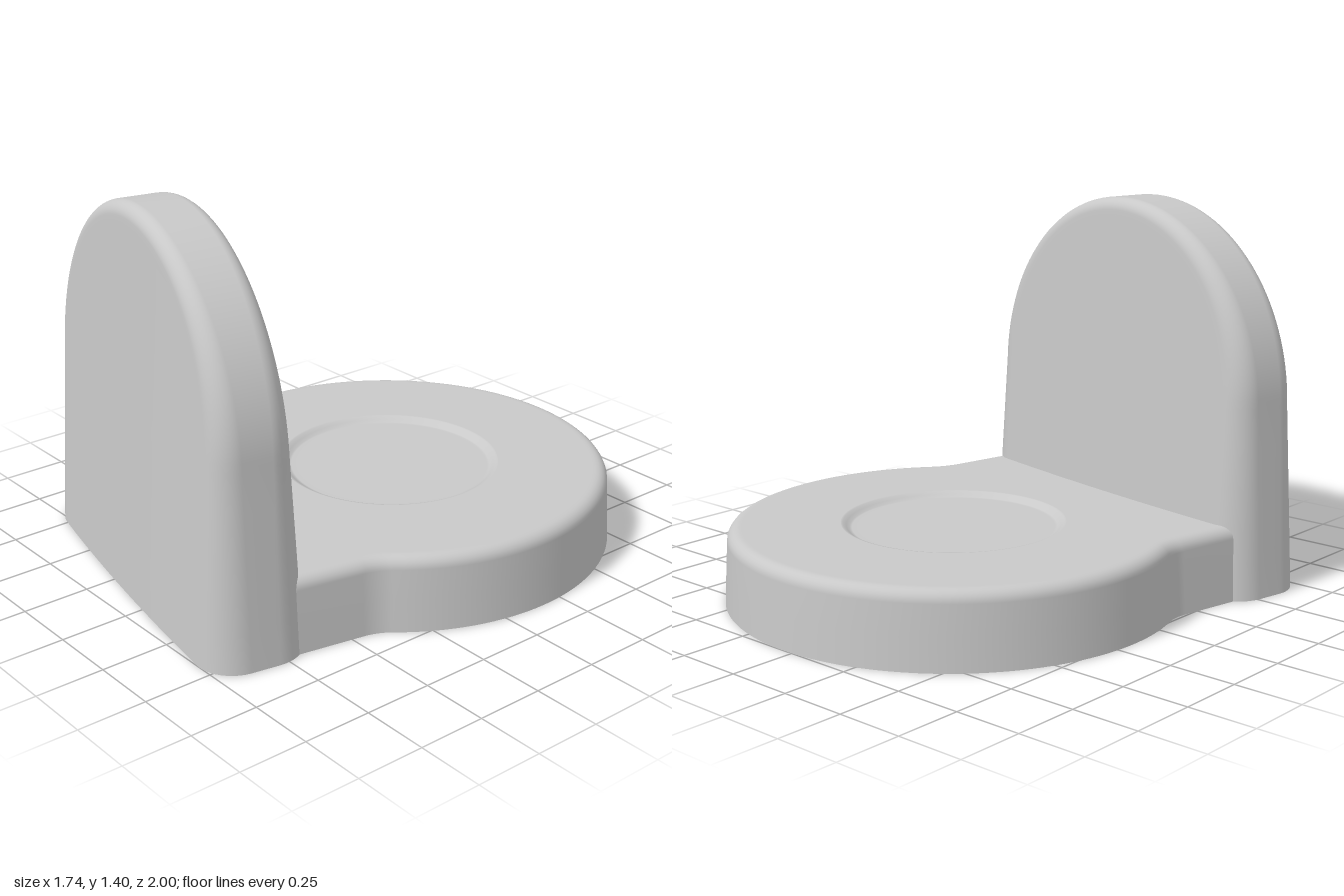
import * as THREE from 'three';

const DRAFT = 0.05;        // side walls lean in by this much per unit of height
const SLAB_Z = 0.885;      // distance from disc centre to upright plate

// Smooth surface through rows of [x, y, z] points
function loft(rows) {
  const n = rows[0].length, index = [];
  for (let i = 0; i < rows.length - 1; i++) {
    for (let j = 0; j < n - 1; j++) {
      const a = i * n + j, b = a + 1, c = a + n, d = c + 1;
      index.push(a, b, c, b, d, c);
    }
  }
  const g = new THREE.BufferGeometry();
  g.setAttribute('position', new THREE.Float32BufferAttribute(rows.flat(2), 3));
  g.setIndex(index);
  g.computeVertexNormals();
  return g;
}

// Flat face from [x, z] points, facing up or down, with optional round hole
function cap(points, y, up, hole = 0) {
  const s = up ? -1 : 1;
  const shape = new THREE.Shape(points.map(([x, z]) => new THREE.Vector2(x, s * z)));
  if (hole) shape.holes.push(new THREE.Path().absarc(0, 0, hole, 0, Math.PI * 2, true));
  const g = new THREE.ShapeGeometry(shape, 48);
  g.rotateX(s * Math.PI / 2);
  g.translate(0, y, 0);
  return g;
}

// Disc-with-neck outline, shrunk evenly by an inset
function baseOutline(inset) {
  const R = 0.83 - inset, w = 0.70 - inset, f = 0.2 + inset;
  const cz = Math.sqrt((R + f) ** 2 - (w + f) ** 2);
  const phi = Math.atan2(cz, w + f);
  const half = [[w, SLAB_Z]];
  for (let k = 0; k <= 10; k++) {
    const a = Math.PI + phi * k / 10;
    half.push([w + f + f * Math.cos(a), cz + f * Math.sin(a)]);
  }
  const N = 48;
  for (let k = 1; k <= N; k++) {
    const a = phi - (phi + Math.PI / 2) * k / N;
    half.push([R * Math.cos(a), R * Math.sin(a)]);
  }
  return [...half, ...half.slice(0, -1).reverse().map(([x, z]) => [-x, z])];
}

// Arched outline point of the upright plate: straight side, then half circle
function archPoint(u, inset) {
  if (u.side) return [u.side * (0.735 - DRAFT * u.y - inset), u.y];
  return [(0.7 - inset) * Math.cos(u.a), 0.7 + (0.7 - inset) * Math.sin(u.a)];
}

// Half depth of the plate: thinner towards the top and slightly bowed across
const halfDepth = (x, y) => 0.205 - 0.06 * y - 0.02 * (x / 0.7) ** 2;

// One row across the plate: front face, rounded edge, rounded edge, back face
function slabRow(u) {
  const r = 0.13 - 0.06 * archPoint(u, 0)[1];
  const front = [];
  const [faceX, faceY] = archPoint(u, r + 0.02);
  for (let k = 0; k <= 6; k++) {
    const x = faceX * k / 6;
    front.push([x, faceY, halfDepth(x, faceY)]);
  }
  for (let k = 0; k <= 8; k++) {
    const q = k / 8 * Math.PI / 2;
    const [x, y] = archPoint(u, r * (1 - Math.sin(q)));
    front.push([x, y, halfDepth(x, y) - r * (1 - Math.cos(q))]);
  }
  return [...front, ...front.slice().reverse().map(([x, y, z]) => [x, y, -z])];
}

export function createModel() {
  const model = new THREE.Group();
  const grey = new THREE.MeshStandardMaterial({ color: 0xc8c8c8 });
  grey.name = 'grey';
  const body = new THREE.Group();
  body.name = 'bracket';
  body.position.set(0.04, 0, -0.17);
  body.rotation.y = -0.19;
  model.add(body);
  const add = (name, geometry, x = 0, z = 0) => {
    const mesh = new THREE.Mesh(geometry, grey);
    mesh.name = name;
    mesh.position.set(x, 0, z);
    body.add(mesh);
  };

  // Base: drafted wall with a rounded top edge
  const H = 0.275, r = 0.045;
  const levels = [[0, 0], [DRAFT * 0.12, 0.12]];
  for (let k = 0; k <= 6; k++) {
    const q = k / 6 * Math.PI / 2;
    levels.push([0.012 + r * (1 - Math.cos(q)), H - r + r * Math.sin(q)]);
  }
  const topInset = 0.012 + r + 0.01;
  levels.push([topInset, H]);
  add('baseWall', loft(levels.map(([inset, y]) => baseOutline(inset).map(([x, z]) => [x, y, z]))));
  add('baseTop', cap(baseOutline(topInset), H, true, 0.41));
  add('baseBottom', cap(baseOutline(0), 0, false));

  // Shallow round recess in the top of the base, from rim to centre
  const dish = [[0.41, 0], [0.403, -0.001], [0.39, -0.01], [0.378, -0.019], [0.37, -0.02], [0.35, -0.02], [0, -0.02]];
  add('recess', new THREE.LatheGeometry(dish.map(([x, y]) => new THREE.Vector2(x, H + y)), 96));

  // Upright arched plate
  const path = [];
  for (let k = 0; k < 5; k++) path.push({ side: 1, y: 0.14 * k });
  for (let k = 0; k <= 64; k++) path.push({ a: Math.PI * k / 64 });
  for (let k = 4; k >= 0; k--) path.push({ side: -1, y: 0.14 * k });
  add('uprightPlate', loft(path.map(slabRow)), -0.005, SLAB_Z);
  const edge = slabRow(path[0]).map(([x, , z]) => [x, z]);
  const foot = [...edge, ...edge.slice(1, -1).reverse().map(([x, z]) => [-x, z])];
  add('plateBottom', cap(foot, 0, false), -0.005, SLAB_Z);

  return model;
}
